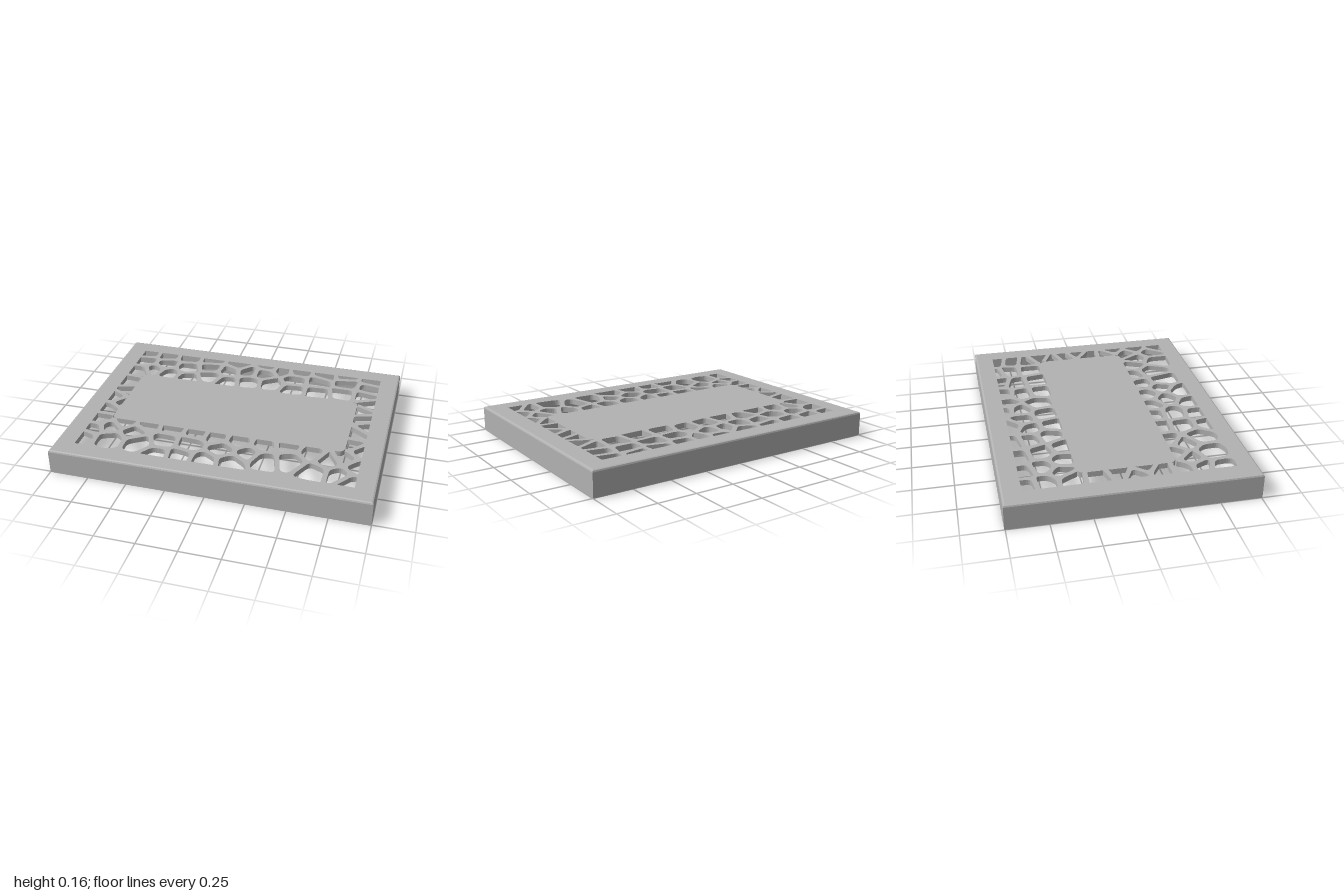
import * as THREE from 'three';

const X = 1, Z = 0.755, TOP = 0.16, WALL = 0.02;
const OPEN_X = 0.875, OPEN_Z = 0.635;      // perforated window
const PANEL_X = 0.763, PANEL_Z = 0.298;    // solid centre panel
const RIB = 0.03;

// Cell seeds in hundredths, as x, z pairs
const backSeeds = [
  -82, -61, -69, -61, -51, -62, -35, -62, -14, -61, 7, -64, 18, -61, 30, -62, 49, -62, 63, -64, 83, -62,
  -81, -49, -66, -48, -49, -47, -33, -52, -19, -50, -6, -53, 6, -53, 29, -49, 46, -51, 65, -53, 81, -50,
  -81, -34, -72, -39, -60, -36, -30, -39, -45, -33, -17, -35, -2, -38, 14, -40, 30, -36, 47, -37, 65, -40, 79, -40, 84, -29];
const sideSeeds = [
  80, -20, 83, -11, 87, -2, 80, 8, 79, 20, 86, 27,
  -82, -18, -79, -6, -84, 4, -77, 10, -83, 19];
const frontSeeds = [
  -83, 32, -74, 40, -83, 44, -86, 54, -66, 32, -69, 53, -56, 41, -49, 52, -50, 32, -35, 46, -34, 31,
  -35, 62, -18, 45, -21, 60, -17, 32, -5, 33, 3, 46, -5, 60, 11, 35, 11, 57, 19, 46, 27, 35, 30, 50,
  42, 32, 46, 46, 57, 36, 62, 54, 68, 41, 78, 35, 76, 54, 87, 43, 84, 60];

function makeSeeds() {
  const all = [...backSeeds, ...sideSeeds, ...frontSeeds], seeds = [];
  for (let i = 0; i < all.length; i += 2) seeds.push(new THREE.Vector2(all[i] / 100, all[i + 1] / 100));
  const used = seeds.length;
  // Filler seeds outside the window and under the panel close off the outer cells
  for (let x = -1.05; x < 1.1; x += 0.15) for (const z of [-0.76, 0.76]) seeds.push(new THREE.Vector2(x, z));
  for (let z = -0.6; z < 0.65; z += 0.15) for (const x of [-1.02, 1.02]) seeds.push(new THREE.Vector2(x, z));
  for (let x = -0.64; x < 0.7; x += 0.16) for (const z of [-0.2, 0, 0.2]) seeds.push(new THREE.Vector2(x, z));
  return { seeds, used };
}

// Keep the part of a convex polygon where n.p <= c
function clip(poly, nx, ny, c) {
  const out = [], d = p => nx * p.x + ny * p.y - c;
  poly.forEach((a, i) => {
    const b = poly[(i + 1) % poly.length], da = d(a), db = d(b);
    if (da <= 0) out.push(a);
    if (da * db < 0) out.push(a.clone().lerp(b, da / (da - db)));
  });
  return out;
}

const clipRect = (poly, w, h) =>
  [[1, 0, w], [-1, 0, w], [0, 1, h], [0, -1, h]].reduce((p, [nx, ny, c]) => clip(p, nx, ny, c), poly);

function roundCorners(poly, r) {
  const out = [];
  poly.forEach((v, i) => {
    const ends = [poly[(i + poly.length - 1) % poly.length], poly[(i + 1) % poly.length]].map(q => {
      const len = v.distanceTo(q);
      return v.clone().lerp(q, Math.min(r, len * 0.45) / len);
    });
    out.push(...new THREE.QuadraticBezierCurve(ends[0], v, ends[1]).getPoints(4));
  });
  return out;
}

// Remove the centre panel from a cell that overlaps its outline
function subtractPanel(poly) {
  const inside = p => Math.abs(p.x) < PANEL_X && Math.abs(p.y) < PANEL_Z;
  const contains = p => {
    const signs = poly.map((a, i) => {
      const b = poly[(i + 1) % poly.length];
      return (b.x - a.x) * (p.y - a.y) - (b.y - a.y) * (p.x - a.x);
    });
    return signs.every(s => s >= 0) || signs.every(s => s <= 0);
  };
  const r = 0.04;
  let corner = null;
  for (const sx of [-1, 1]) for (const sz of [-1, 1]) {
    if (!contains(new THREE.Vector2(sx * PANEL_X, sz * PANEL_Z))) continue;
    corner = [0, 1, 2, 3, 4].map(k => new THREE.Vector2(
      sx * (PANEL_X - r + r * Math.cos(k * Math.PI / 8)),
      sz * (PANEL_Z - r + r * Math.sin(k * Math.PI / 8))));
  }
  const out = [], steps = 8;
  poly.forEach((a, i) => {
    const b = poly[(i + 1) % poly.length];
    if (!inside(a)) out.push(a);
    for (let k = 0; k < steps; k++) {
      let lo = a.clone().lerp(b, k / steps), hi = a.clone().lerp(b, (k + 1) / steps);
      const from = inside(lo);
      if (from === inside(hi)) continue;
      for (let n = 0; n < 25; n++) {
        const mid = lo.clone().lerp(hi, 0.5);
        if (inside(mid) === from) lo = mid; else hi = mid;
      }
      out.push(lo);
      if (!from && corner) {
        const flip = corner[0].distanceTo(lo) > corner[4].distanceTo(lo);
        out.push(...(flip ? [...corner].reverse() : corner));
      }
    }
  });
  return out;
}

// Rounded irregular openings around the panel
function latticeHoles() {
  const { seeds, used } = makeSeeds(), holes = [];
  for (let i = 0; i < used; i++) {
    const s = seeds[i];
    let poly = [[-2, -2], [2, -2], [2, 2], [-2, 2]].map(p => new THREE.Vector2(...p));
    seeds.forEach((q, j) => {
      if (j === i) return;
      const n = q.clone().sub(s).normalize();
      poly = clip(poly, n.x, n.y, n.dot(q.clone().add(s).multiplyScalar(0.5)) - RIB / 2);
    });
    if (poly.length < 3) continue;
    poly = subtractPanel(clipRect(roundCorners(poly, 0.03), OPEN_X, OPEN_Z));
    poly = poly.filter((p, k) => p.distanceTo(poly[(k + 1) % poly.length]) > 1e-4);
    if (poly.length > 2 && Math.abs(THREE.ShapeUtils.area(poly)) > 2e-4) holes.push(poly);
  }
  return holes;
}

// Honeycomb pockets under the panel
function hexHoles() {
  const holes = [], pitch = 0.19, r = 0.097;
  for (let row = -1; row <= 1; row++) {
    const count = row ? 7 : 8;
    for (let c = 0; c < count; c++) {
      const x = (c - (count - 1) / 2) * pitch, z = row * pitch * 0.866;
      holes.push([0, 1, 2, 3, 4, 5].map(k => new THREE.Vector2(
        x + r * Math.sin(k * Math.PI / 3), z + r * Math.cos(k * Math.PI / 3))));
    }
  }
  return holes;
}

function plateLayer(holes, top, depth) {
  const w = X - WALL, h = Z - WALL;
  const shape = new THREE.Shape([[-w, -h], [w, -h], [w, h], [-w, h]].map(p => new THREE.Vector2(...p)));
  shape.holes = holes.map(p => new THREE.Path(p));
  const geo = new THREE.ExtrudeGeometry(shape, { depth, bevelEnabled: false });
  return geo.rotateX(Math.PI / 2).translate(0, top, 0);
}

// Rectangular wall swept from a profile of [inset, height]
function wallGeometry() {
  const profile = [[0, 0], [0, 0.148], [0.0035, 0.1565], [0.012, TOP], [WALL, TOP], [WALL, 0], [0, 0]];
  const corners = [[1, 1], [1, -1], [-1, -1], [-1, 1]], pos = [];
  const at = ([d, y], [sx, sz]) => [sx * (X - d), y, sz * (Z - d)];
  for (let i = 0; i < profile.length - 1; i++) {
    corners.forEach((c, k) => {
      const n = corners[(k + 1) % 4];
      const a = at(profile[i], c), b = at(profile[i], n), e = at(profile[i + 1], n), f = at(profile[i + 1], c);
      pos.push(...a, ...b, ...e, ...a, ...e, ...f);
    });
  }
  const geo = new THREE.BufferGeometry();
  geo.setAttribute('position', new THREE.Float32BufferAttribute(pos, 3));
  geo.computeVertexNormals();
  return geo;
}

export function createModel() {
  const group = new THREE.Group();
  const grey = new THREE.MeshStandardMaterial({ color: 0xb2b2b2 });
  grey.name = 'grey';
  const add = (name, geo) => {
    const mesh = new THREE.Mesh(geo, grey);
    mesh.name = name;
    group.add(mesh);
    return mesh;
  };

  add('outerWall', wallGeometry());
  const cells = latticeHoles();
  add('topPlate', plateLayer(cells, TOP, 0.012));
  add('honeycombPlate', plateLayer([...cells, ...hexHoles()], TOP - 0.012, 0.023));

  // Small snap bumps on the inside of the long walls
  for (const side of [-1, 1]) for (const x of [-0.68, 0, 0.68]) {
    const bump = add('snapBump', new THREE.CylinderGeometry(0.012, 0.012, 0.012, 16).rotateX(Math.PI / 2));
    bump.position.set(x, 0.065, side * (Z - WALL - 0.004));
  }
  return group;
}
